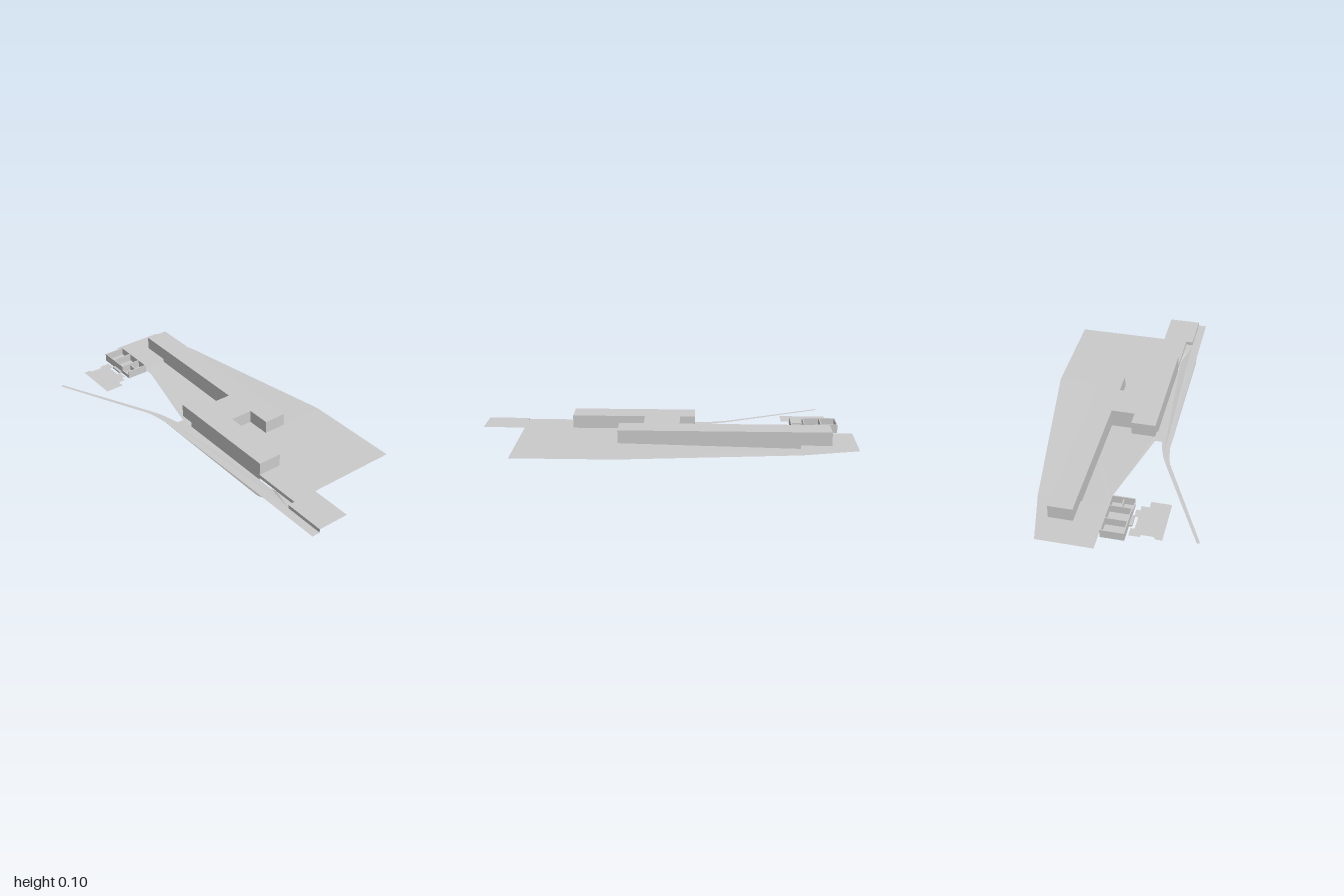
import * as THREE from 'three';

const solid = new THREE.MeshStandardMaterial({ color: 0xcccccc, flatShading: true });
const thin = new THREE.MeshStandardMaterial({ color: 0xcccccc, flatShading: true, side: THREE.DoubleSide });

// Outline in plan, given as [x, z] points
const planShape = pts => new THREE.Shape(pts.map(([x, z]) => new THREE.Vector2(x, -z)));

function addMesh(group, name, geometry, material) {
  const mesh = new THREE.Mesh(geometry, material);
  mesh.name = name;
  group.add(mesh);
  return mesh;
}

// Thin surface over a plan outline, with its height set by a rule
function sheet(group, name, pts, height) {
  const geo = new THREE.ShapeGeometry(planShape(pts)).rotateX(-Math.PI / 2);
  const p = geo.attributes.position;
  for (let i = 0; i < p.count; i++) p.setY(i, height(p.getX(i), p.getZ(i)));
  geo.computeVertexNormals();
  return addMesh(group, name, geo, thin);
}

// Solid volume over a plan outline between two levels
function block(group, name, pts, y0, y1) {
  const geo = new THREE.ExtrudeGeometry(planShape(pts), { depth: y1 - y0, bevelEnabled: false });
  geo.rotateX(-Math.PI / 2).translate(0, y0, 0);
  return addMesh(group, name, geo, solid);
}

function box(group, name, x0, x1, y0, y1, z0, z1) {
  const geo = new THREE.BoxGeometry(x1 - x0, y1 - y0, z1 - z0);
  geo.translate((x0 + x1) / 2, (y0 + y1) / 2, (z0 + z1) / 2);
  return addMesh(group, name, geo, solid);
}

// Plan of the building: rear bar, neck and front bar
const footprint = (rearEnd, frontEnd) => [
  [rearEnd, -0.25], [0.25, -0.25], [0.25, -0.125], [0.12, -0.125], [0.12, 0], [0.51, 0],
  [0.51, 0.13], [frontEnd, 0.13], [frontEnd, 0], [-0.07, 0], [-0.07, -0.125], [rearEnd, -0.125],
];

export function createModel() {
  const model = new THREE.Group();

  // Building: upper floor overhangs the lower one at its ends
  const building = new THREE.Group();
  building.name = 'building';
  block(building, 'upperFloor', footprint(-0.86, -0.15), 0.028, 0.1);
  block(building, 'lowerFloor', footprint(-0.7, -0.07), 0, 0.028);
  model.add(building);

  // Terrain
  const terrain = new THREE.Group();
  terrain.name = 'terrain';
  const rise = x => 0.01 + 0.02 * THREE.MathUtils.clamp((x + 0.7) / 0.82, 0, 1);
  sheet(terrain, 'upperGround', [
    [-0.7, -0.35], [0.24, -0.5], [0.775, -0.5], [0.775, -0.005], [1, -0.005], [1, 0.168],
    [0.775, 0.168], [0.775, 0.13], [0.51, 0.13], [0.51, 0], [0.12, 0], [0.12, -0.125],
    [0.25, -0.125], [0.25, -0.25], [-0.7, -0.25],
  ], rise);
  sheet(terrain, 'flatGround', [
    [-1, -0.277], [-0.7, -0.35], [-0.7, 0.012], [-1, 0.012],
  ], () => 0.01);
  sheet(terrain, 'slopingGround', [
    [-0.7, -0.25], [-0.07, -0.25], [-0.07, 0.13], [-0.15, 0.13], [-0.63, 0.012], [-0.7, 0.012],
  ], x => 0.01 * THREE.MathUtils.clamp((-0.15 - x) / 0.55, 0, 1));

  // Retaining walls under the front edge of the upper ground
  const edge = [[1, 0.168], [0.775, 0.168], [0.775, 0.13], [0.51, 0.13]];
  for (let i = 0; i < edge.length - 1; i++) {
    const [ax, az] = edge[i], [bx, bz] = edge[i + 1];
    const geo = new THREE.PlaneGeometry(Math.hypot(bx - ax, bz - az), 0.02);
    geo.rotateY(-Math.atan2(bz - az, bx - ax)).translate((ax + bx) / 2, 0.02, (az + bz) / 2);
    addMesh(terrain, 'retainingWall', geo, thin);
  }
  model.add(terrain);

  // Road with a curved branch to the front right corner
  sheet(model, 'road', [
    [1, 0.168], [0.775, 0.168], [0.775, 0.13], [0.64, 0.13], [0.6, 0.13], [-0.15, 0.13],
    [-0.15, 0.165], [-0.21, 0.18], [-0.27, 0.197], [-0.33, 0.223], [-0.855, 0.475],
    [-0.848, 0.489], [-0.32, 0.243], [-0.26, 0.228], [-0.19, 0.219], [0.6, 0.219],
    [0.64, 0.215], [1, 0.213],
  ], x => (x > 0.62 ? 0.01 : 0));

  // Small roofless house with inner walls
  const house = new THREE.Group();
  house.name = 'house';
  const t = 0.006, low = 0.01, high = 0.055;
  box(house, 'houseFloor', -0.92, -0.67, low, low + 0.004, 0.02, 0.14);
  for (const x of [-0.92, -0.835, -0.745, -0.67 - t]) {
    box(house, 'crossWall', x, x + t, low, high, 0.02, 0.14);
  }
  box(house, 'backWall', -0.92, -0.67, low, high, 0.02, 0.02 + t);
  box(house, 'frontWall', -0.92, -0.745, low, high, 0.14 - t, 0.14);
  box(house, 'lowFrontWall', -0.745, -0.67, low, 0.03, 0.14 - t, 0.14);
  box(house, 'middleWall', -0.745, -0.67, low, 0.045, 0.08, 0.08 + t);
  box(house, 'step', -0.82, -0.75, low, 0.02, 0.14, 0.155);

  // Terrace slabs in front of the house
  sheet(house, 'terrace', [
    [-0.88, 0.15], [-0.83, 0.15], [-0.83, 0.17], [-0.75, 0.17], [-0.75, 0.15], [-0.7, 0.15],
    [-0.7, 0.17], [-0.67, 0.17], [-0.67, 0.21], [-0.63, 0.21], [-0.63, 0.314], [-0.88, 0.314],
    [-0.88, 0.28], [-0.865, 0.27], [-0.865, 0.21], [-0.88, 0.205],
  ], () => 0.01);
  model.add(house);

  return model;
}
